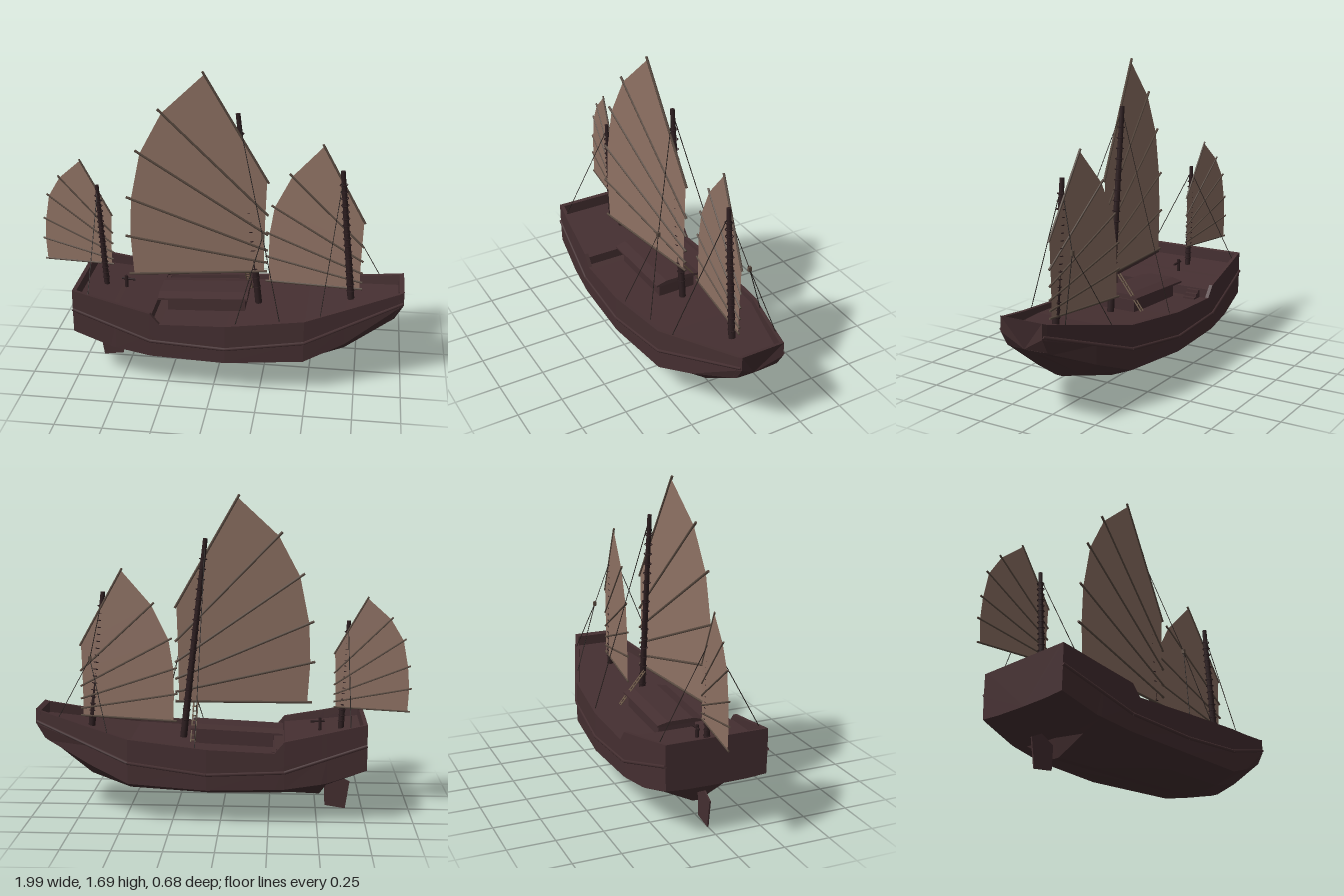
import * as THREE from 'three';

const mat = (name, color) => {
  const m = new THREE.MeshStandardMaterial({ color, side: THREE.DoubleSide });
  m.name = name;
  return m;
};
const V = (x, y, z) => new THREE.Vector3(x, y, z);

export function createModel() {
  const ship = new THREE.Group();
  ship.name = 'sailingShip';
  const wood = mat('hullWood', 0x452f31);
  const dark = mat('mastWood', 0x2d1e20);
  const cloth = mat('sailCloth', 0x8f7264);
  const spar = mat('battenWood', 0x594a40);
  const rope = mat('rope', 0x26201e);
  const tan = mat('tackle', 0x6e5a48);

  const add = (name, geo, material, parent = ship) => {
    const m = new THREE.Mesh(geo, material);
    m.name = name;
    parent.add(m);
    return m;
  };
  const box = (name, x, y, z, w, h, d, material) =>
    add(name, new THREE.BoxGeometry(w, h, d), material).position.set(x, y, z);
  const rod = (name, a, b, r0, r1, material, sides = 6, parent = ship) => {
    const m = add(name, new THREE.CylinderGeometry(r1, r0, a.distanceTo(b), sides), material, parent);
    m.position.copy(a).lerp(b, 0.5);
    m.quaternion.setFromUnitVectors(V(0, 1, 0), b.clone().sub(a).normalize());
    return m;
  };
  const faceted = (positions) => {
    const g = new THREE.BufferGeometry();
    g.setAttribute('position', new THREE.Float32BufferAttribute(positions, 3));
    g.computeVertexNormals();
    return g;
  };

  // Hull stations: x, rail y, rail half width, chine y, chine half width, bilge y, keel y, deck y
  const stations = [
    [-0.755, 0.53, 0.275, 0.29, 0.272, 0.282, 0.28, 0.53],
    [-0.735, 0.526, 0.277, 0.283, 0.275, 0.272, 0.27, 0.526],
    [-0.734, 0.526, 0.277, 0.283, 0.275, 0.272, 0.27, 0.465],
    [-0.55, 0.488, 0.297, 0.225, 0.295, 0.185, 0.18, 0.44],
    [-0.52, 0.482, 0.3, 0.22, 0.3, 0.17, 0.09, 0.437],
    [-0.33, 0.445, 0.32, 0.195, 0.318, 0.145, 0.097, 0.415],
    [-0.329, 0.444, 0.32, 0.195, 0.318, 0.145, 0.097, 0.365],
    [-0.28, 0.385, 0.321, 0.194, 0.32, 0.143, 0.099, 0.365],
    [0.07, 0.402, 0.33, 0.187, 0.33, 0.14, 0.112, 0.38],
    [0.48, 0.442, 0.295, 0.207, 0.293, 0.158, 0.13, 0.41],
    [0.69, 0.488, 0.222, 0.288, 0.22, 0.222, 0.19, 0.445],
    [0.964, 0.552, 0.13, 0.39, 0.125, 0.38, 0.375, 0.495],
    [0.965, 0.552, 0.13, 0.39, 0.125, 0.38, 0.375, 0.552],
    [0.99, 0.562, 0.12, 0.405, 0.117, 0.402, 0.4, 0.562],
  ];
  const rings = stations.map(([x, top, hw, cy, chw, by, ky, deck]) => {
    const rake = x > 0.9 ? 0.045 : 0;
    const half = [
      [x - rake, ky, 0.018], [x - rake, by, chw * 0.6], [x - rake, cy, chw],
      [x, cy + (top - cy) * 0.5, hw], [x, top, hw], [x, top, hw - 0.02], [x, deck, hw - 0.022],
    ];
    return [...half, ...half.map(([px, py, pz]) => [px, py, -pz]).reverse()];
  });
  const hull = [];
  const n = rings[0].length;
  for (let i = 0; i < rings.length - 1; i++) {
    for (let j = 0; j < n; j++) {
      const k = (j + 1) % n, a = rings[i], b = rings[i + 1];
      hull.push(...a[j], ...b[j], ...b[k], ...a[j], ...b[k], ...a[k]);
    }
  }
  const bow = rings[rings.length - 1];
  for (let j = 1; j < n - 1; j++) {
    hull.push(...rings[0][0], ...rings[0][j], ...rings[0][j + 1]);
    hull.push(...bow[0], ...bow[j + 1], ...bow[j]);
  }
  add('hull', faceted(hull), wood);

  // Rubbing strake along both sides
  const strake = [[-0.755, 0.42, 0.275], [-0.33, 0.285, 0.32], [0.07, 0.27, 0.331], [0.48, 0.318, 0.295], [0.985, 0.495, 0.12]];
  for (const s of [1, -1]) {
    for (let i = 0; i < strake.length - 1; i++) {
      const [a, b] = [strake[i], strake[i + 1]].map(([x, y, z]) => V(x, y, z * s));
      rod('rubbingStrake', a, b, 0.009, 0.009, wood, 6);
    }
  }

  // Deck house with arched roof, stairs to the raised stern deck
  box('cabin', -0.06, 0.405, 0, 0.42, 0.09, 0.21, wood);
  const roof = new THREE.Shape([[-0.13, 0], [0.13, 0], [0.13, 0.01], [0.07, 0.024], [-0.07, 0.024], [-0.13, 0.01]]
    .map(([x, y]) => new THREE.Vector2(x, y)));
  const roofMesh = add('cabinRoof', new THREE.ExtrudeGeometry(roof, { depth: 0.485, bevelEnabled: false })
    .translate(0, 0, -0.2425).rotateY(Math.PI / 2).rotateZ(0.05), wood);
  roofMesh.position.set(-0.078, 0.446, 0);
  for (let i = 0; i < 3; i++) {
    box('stair', -0.32 + i * 0.022, 0.382 - i * 0.008, -0.205, 0.022, 0.05 - i * 0.016, 0.07, wood);
  }

  // Rudder blade, stock and tiller
  const blade = new THREE.Shape([[-0.683, 0.155], [-0.66, 0.005], [-0.55, 0.022], [-0.545, 0.147], [-0.62, 0.187]]
    .map(([x, y]) => new THREE.Vector2(x, y)));
  add('rudder', new THREE.ExtrudeGeometry(blade, { depth: 0.008, bevelEnabled: false }).translate(0, 0, -0.004), wood);
  rod('rudderStock', V(-0.52, 0.42, 0), V(-0.52, 0.505, 0), 0.01, 0.01, dark);
  rod('tiller', V(-0.545, 0.488, 0), V(-0.47, 0.484, 0), 0.006, 0.006, dark);

  // Fan sails: outer ends of the spars from peak to foot, luff x, luff heights, z at luff, z slope
  const luffSteps = [0, 0.36, 0.58, 0.76, 0.9, 1];
  const sails = [
    { name: 'main', foot: [0.215, 0.38], top: [0.093, 1.46], r: 0.019, luff: 0.258, high: 1.09, low: 0.585, z: 0.008, slope: 0.125, bar: 0.007,
      ends: [[-0.083, 1.687], [-0.312, 1.49], [-0.432, 1.268], [-0.485, 1.01], [-0.493, 0.79], [-0.478, 0.567]] },
    { name: 'fore', foot: [0.715, 0.42], top: [0.64, 1.175], r: 0.019, luff: 0.768, high: 0.885, low: 0.505, z: -0.006, slope: -0.12, bar: 0.006,
      ends: [[0.532, 1.303], [0.362, 1.125], [0.268, 0.938], [0.242, 0.78], [0.24, 0.64], [0.243, 0.492]] },
    { name: 'mizzen', foot: [-0.63, 0.43], top: [-0.665, 1.03], r: 0.016, luff: -0.59, high: 0.852, low: 0.567, z: -0.01, slope: -0.125, bar: 0.005,
      ends: [[-0.765, 1.16], [-0.893, 1.055], [-0.962, 0.942], [-0.988, 0.8], [-0.997, 0.68], [-0.99, 0.556]] },
  ];
  for (const s of sails) {
    const rig = new THREE.Group();
    rig.name = s.name + 'Rig';
    ship.add(rig);
    const foot = V(...s.foot, 0), top = V(...s.top, 0);
    rod(s.name + 'Mast', foot, top, s.r, s.r * 0.65, dark, 8, rig);
    const rows = s.ends.map(([x, y], i) => {
      const a = V(x, y, s.z + s.slope * (s.luff - x));
      const b = V(s.luff, s.high + (s.low - s.high) * luffSteps[i], s.z);
      rod(s.name + 'Batten', a, b, s.bar, s.bar, spar, 6, rig);
      return [a.clone().lerp(b, i === 0 ? 0.025 : 0.035), b.clone().lerp(a, 0.025)];
    });
    const panels = [];
    for (let i = 0; i < rows.length - 1; i++) {
      const [a, b] = rows[i].map((p) => p.toArray()), [c, d] = rows[i + 1].map((p) => p.toArray());
      panels.push(...c, ...d, ...b, ...c, ...b, ...a);
    }
    add(s.name + 'Sail', faceted(panels), cloth, rig);
    // Lashing hoops up the mast
    const lean = Math.atan2(foot.x - top.x, top.y - foot.y);
    for (let i = 2; i < 19; i++) {
      const hoop = add('mastHoop', new THREE.TorusGeometry(s.r + 0.001, 0.003, 4, 10).rotateX(Math.PI / 2).rotateZ(lean), dark, rig);
      hoop.position.copy(foot).lerp(top, i / 20);
    }
  }

  // Standing and running rigging with blocks
  const lines = [
    [[0.095, 1.44, 0], [0.245, 0.855, 0.165]], [[0.245, 0.855, 0.165], [0.12, 0.4, 0.3]], [[0.245, 0.855, 0.165], [0.35, 0.42, 0.27]],
    [[0.095, 1.44, 0], [0.13, 0.4, -0.31]],
    [[0.645, 1.14, 0], [0.7, 0.83, -0.095]], [[0.7, 0.83, -0.095], [0.59, 0.46, -0.25]], [[0.7, 0.83, -0.095], [0.86, 0.525, -0.16]],
    [[0.645, 1.14, 0], [0.56, 0.455, 0.26]],
    [[-0.663, 1.0, 0], [-0.67, 0.51, 0.27]], [[-0.663, 1.0, 0], [-0.67, 0.51, -0.27]],
  ];
  for (const [a, b] of lines) rod('riggingLine', V(...a), V(...b), 0.0022, 0.0022, rope, 4);
  for (const p of [[0.245, 0.855, 0.165], [0.7, 0.83, -0.095]]) box('pulleyBlock', ...p, 0.016, 0.024, 0.016, spar);
  // Coiled tackle beside the main mast
  for (const x of [0.14, 0.162]) rod('tackleRope', V(x, 0.4, -0.155), V(x - 0.005, 0.58, -0.01), 0.004, 0.004, tan);
  for (let i = 0; i < 8; i++) box('tackleRung', 0.149, 0.41 + i * 0.022, -0.147 + i * 0.0177, 0.026, 0.005, 0.005, tan);

  return ship;
}
